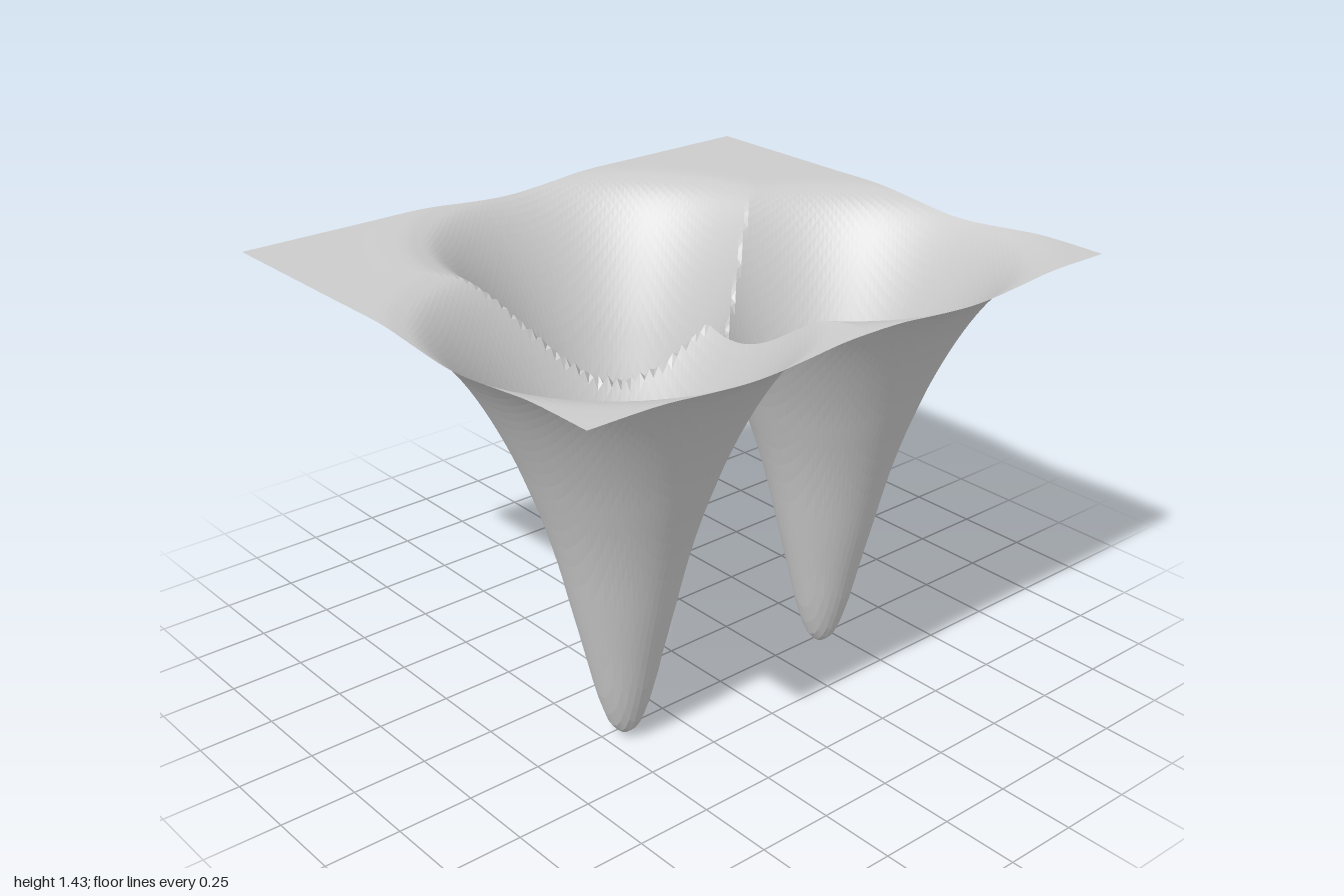
import * as THREE from 'three';

const WIDTH = 2, DEPTH = 1.72, STEP = 0.02;

// Centres of the three wells (x, z)
const WELLS = [[-0.43, 0.28], [0.43, 0.28], [0, -0.28]];

// Radial profile shared by the wells: distance from centre, height
const PROFILE = new THREE.SplineCurve([
  [0, 0], [0.05, 0.05], [0.09, 0.17], [0.12, 0.3], [0.16, 0.47], [0.2, 0.64],
  [0.24, 0.78], [0.28, 0.895], [0.32, 1.0], [0.37, 1.11], [0.42, 1.205],
  [0.47, 1.285], [0.52, 1.35], [0.57, 1.395], [0.62, 1.415], [0.68, 1.425], [0.8, 1.425],
].map(([r, y]) => new THREE.Vector2(r, y))).getPoints(160);

function heightAt(r) {
  const i = PROFILE.findIndex((p) => p.x >= r);
  if (i < 0) return 1.425;
  if (i === 0) return PROFILE[0].y;
  const a = PROFILE[i - 1], b = PROFILE[i];
  return THREE.MathUtils.mapLinear(r, a.x, b.x, a.y, b.y);
}

export function createModel() {
  const group = new THREE.Group();
  group.name = 'funnelSheet';

  // Flat rectangular sheet, pulled down into the nearest well
  const geometry = new THREE.PlaneGeometry(
    WIDTH, DEPTH, Math.round(WIDTH / STEP), Math.round(DEPTH / STEP));
  geometry.rotateX(-Math.PI / 2);
  const pos = geometry.attributes.position;
  for (let i = 0; i < pos.count; i++) {
    const distances = WELLS.map(([x, z]) => Math.hypot(pos.getX(i) - x, pos.getZ(i) - z));
    pos.setY(i, heightAt(Math.min(...distances)));
  }
  geometry.computeVertexNormals();

  const sheet = new THREE.Mesh(geometry, new THREE.MeshStandardMaterial({
    color: 0xcccccc, flatShading: true, side: THREE.DoubleSide,
  }));
  sheet.name = 'sheetWithThreeWells';
  group.add(sheet);
  return group;
}
